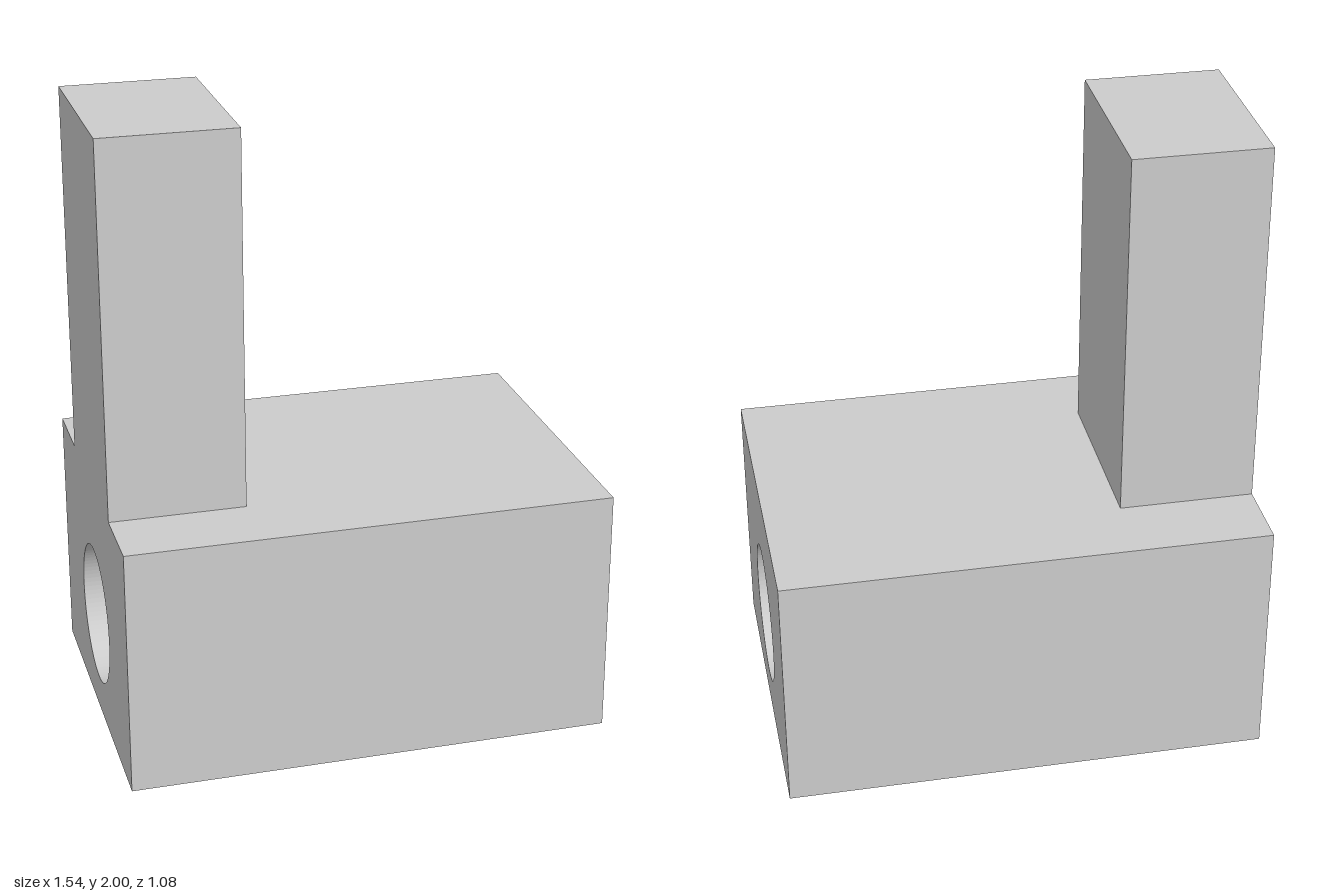
import * as THREE from 'three';

const LENGTH = 1.54, BASE_HEIGHT = 0.8, DEPTH = 1.08;
const POST_WIDTH = 0.43, POST_DEPTH = 0.6, TOTAL_HEIGHT = 2;
const BORE_RADIUS = 0.226, BORE_Y = 0.34;

export function createModel() {
  const model = new THREE.Group();
  model.name = 'boredBlockWithPost';
  const material = new THREE.MeshStandardMaterial({ color: 0xcccccc, flatShading: true });

  // Base block: end profile with a round bore, extruded along x
  const profile = new THREE.Shape([
    new THREE.Vector2(-DEPTH / 2, 0),
    new THREE.Vector2(DEPTH / 2, 0),
    new THREE.Vector2(DEPTH / 2, BASE_HEIGHT),
    new THREE.Vector2(-DEPTH / 2, BASE_HEIGHT),
  ]);
  const bore = new THREE.Path().absarc(0, BORE_Y, BORE_RADIUS, 0, Math.PI * 2, true);
  profile.holes.push(bore);
  const baseGeometry = new THREE.ExtrudeGeometry(profile, {
    depth: LENGTH, bevelEnabled: false, curveSegments: 48,
  });
  baseGeometry.translate(0, 0, -LENGTH / 2).rotateY(Math.PI / 2);
  const base = new THREE.Mesh(baseGeometry, material);
  base.name = 'base';
  model.add(base);

  // Upright post, flush with the -x end of the base
  const postHeight = TOTAL_HEIGHT - BASE_HEIGHT;
  const post = new THREE.Mesh(new THREE.BoxGeometry(POST_WIDTH, postHeight, POST_DEPTH), material);
  post.name = 'post';
  post.position.set((POST_WIDTH - LENGTH) / 2, BASE_HEIGHT + postHeight / 2, 0);
  model.add(post);

  return model;
}
